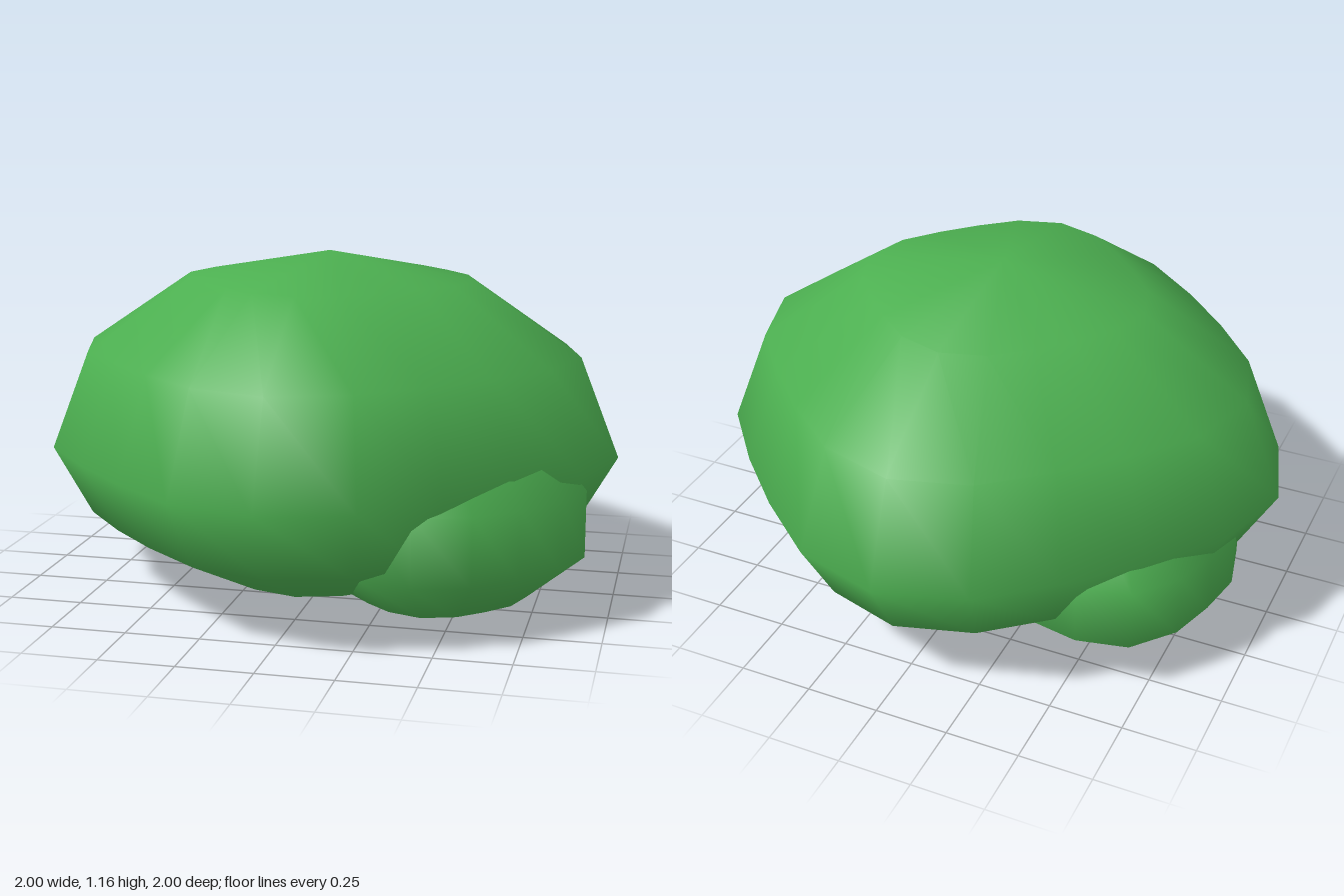
import * as THREE from 'three';
import { mergeVertices } from 'three/addons/utils/BufferGeometryUtils.js';

const leafGreen = new THREE.MeshStandardMaterial({ color: 0x4caf50 });
leafGreen.name = 'leafGreen';

// Sphere pinched towards four soft corners, with a flatter underside
function clump(name, { segments, rings, rx, rz, up, down, pinch, position, turn = 0 }) {
  let geometry = new THREE.SphereGeometry(1, segments, rings);
  const p = geometry.attributes.position;
  for (let i = 0; i < p.count; i++) {
    const x = p.getX(i), y = p.getY(i), z = p.getZ(i);
    const k = 1 - pinch * Math.sin(2 * Math.atan2(z, x)) ** 2;
    p.setXYZ(i, x * rx * k, y * (y > 0 ? up : down), z * rz * k);
  }
  // Weld the seam so that the shading is smooth all round
  geometry.deleteAttribute('uv');
  geometry.deleteAttribute('normal');
  geometry = mergeVertices(geometry, 1e-4);
  geometry.computeVertexNormals();
  const mesh = new THREE.Mesh(geometry, leafGreen);
  mesh.name = name;
  mesh.position.set(...position);
  mesh.rotation.y = turn;
  return mesh;
}

export function createModel() {
  const bush = new THREE.Group();
  bush.name = 'bush';
  bush.add(
    // Large central mass of leaves
    clump('mainFoliage', {
      segments: 20, rings: 6, rx: 1, rz: 1, up: 0.675, down: 0.47,
      pinch: 0.118, position: [0, 0.49, 0],
    }),
    // Small lobe at the front
    clump('frontLobe', {
      segments: 16, rings: 5, rx: 0.515, rz: 0.49, up: 0.43, down: 0.3,
      pinch: 0.1, position: [0.43, 0.31, 0.28],
    }),
    // Small lobe at the back, turned about its own axis
    clump('backLobe', {
      segments: 16, rings: 5, rx: 0.484, rz: 0.484, up: 0.407, down: 0.285,
      pinch: 0.1, position: [-0.47, 0.29, -0.2], turn: -59 * Math.PI / 180,
    }),
  );
  return bush;
}
